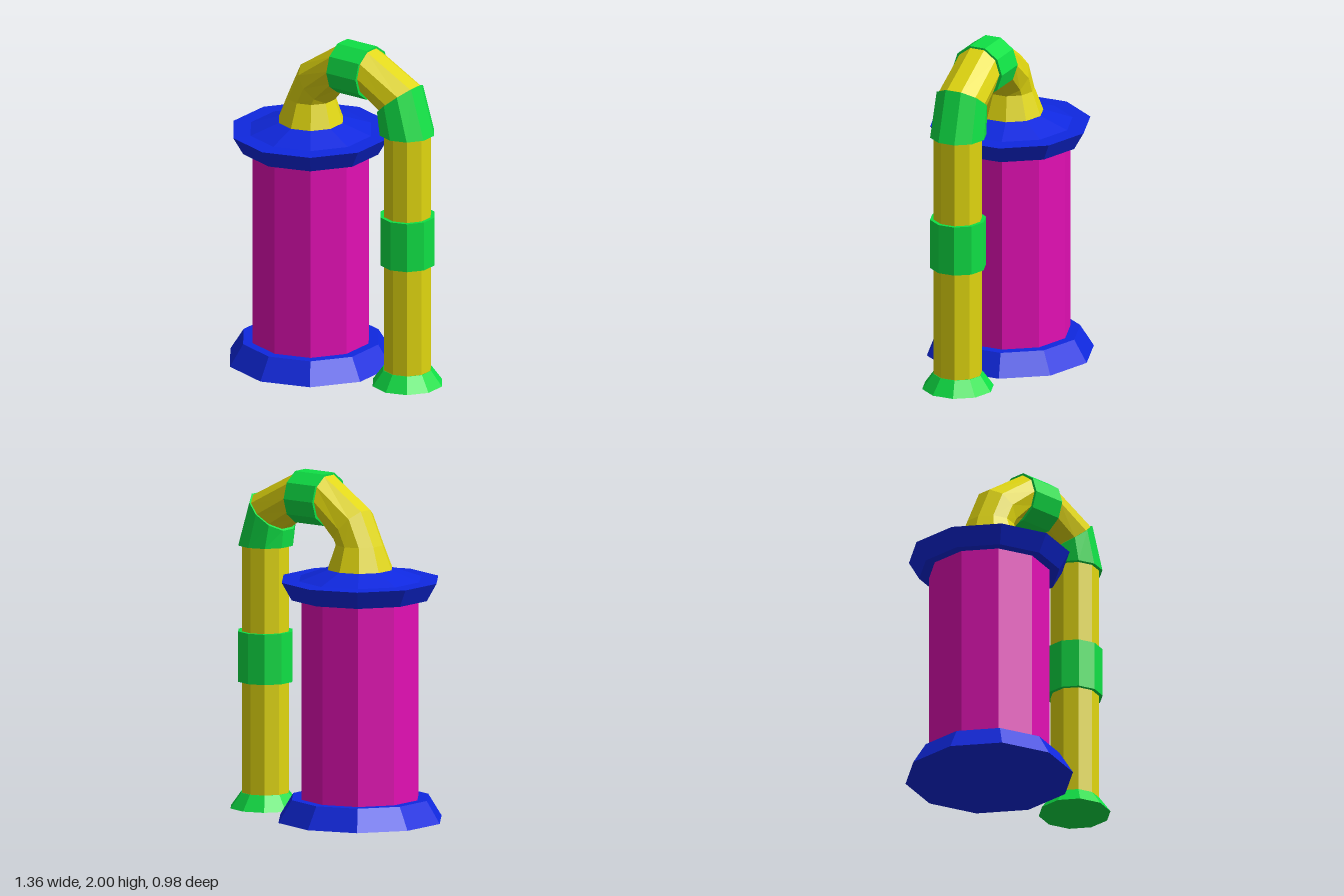
import * as THREE from 'three';

const SIDES = 10;
const TANK_X = -0.215, PIPE_X = 0.478;
const mat = (color) => new THREE.MeshStandardMaterial({ color, flatShading: true });

// Closed ten-sided tube through rings [x, y, angle of the outer side in degrees, radius]
function loft(rings) {
  const pos = [], idx = [];
  for (const [x, y, deg, r] of rings) {
    const a = THREE.MathUtils.degToRad(deg);
    for (let i = 0; i < SIDES; i++) {
      const t = (i / SIDES) * Math.PI * 2, s = r * Math.sin(t);
      pos.push(x + s * Math.cos(a), y + s * Math.sin(a), r * Math.cos(t));
    }
  }
  const last = (rings.length - 1) * SIDES;
  for (let k = 0; k < last; k += SIDES) {
    for (let i = 0; i < SIDES; i++) {
      const j = (i + 1) % SIDES;
      idx.push(k + i, k + SIDES + i, k + j, k + j, k + SIDES + i, k + SIDES + j);
    }
  }
  // end caps
  for (let i = 1; i < SIDES - 1; i++) idx.push(0, i, i + 1, last, last + i + 1, last + i);
  const geo = new THREE.BufferGeometry();
  geo.setAttribute('position', new THREE.Float32BufferAttribute(pos, 3));
  geo.setIndex(idx);
  const flat = geo.toNonIndexed();
  flat.computeVertexNormals();
  return flat;
}

export function createModel() {
  const group = new THREE.Group();
  const magenta = mat(0xe20fb4), blue = mat(0x0f28e0), yellow = mat(0xe0d60f), green = mat(0x0fe045);

  const add = (name, geo, material) => {
    const mesh = new THREE.Mesh(geo, material);
    mesh.name = name;
    group.add(mesh);
    return mesh;
  };
  // Upright ten-sided drum between two heights
  const drum = (name, x, y0, y1, r0, r1, material) =>
    add(name, new THREE.CylinderGeometry(r1, r0, y1 - y0, SIDES), material).position.set(x, (y0 + y1) / 2, 0);

  // Tank
  drum('tankBase', TANK_X, 0, 0.13, 0.49, 0.41, blue);
  drum('tankBody', TANK_X, 0.13, 1.3, 0.352, 0.352, magenta);
  const lid = [[0, 1.3], [0.41, 1.3], [0.47, 1.405], [0.365, 1.408], [0.195, 1.468], [0, 1.468]];
  add('tankLid', new THREE.LatheGeometry(lid.map(([r, y]) => new THREE.Vector2(r, y)), SIDES), blue).position.x = TANK_X;

  // Bent pipe from the lid over to the elbow
  add('bentPipe', loft([
    [TANK_X, 1.465, 180, 0.195],
    [-0.212, 1.61, 180, 0.142],
    [-0.165, 1.71, 132, 0.142],
    [0.015, 1.855, 90, 0.142],
    [0.22, 1.855, 90, 0.142],
    [0.43, 1.737, 40, 0.145],
    [PIPE_X, 1.56, 0, 0.142],
  ]), yellow);
  add('topCollar', loft([[0.012, 1.85, 90, 0.158], [0.222, 1.85, 90, 0.158]]), green);
  add('elbow', loft([[0.425, 1.737, 40, 0.158], [0.475, 1.538, 0, 0.165]]), green);

  // Downpipe
  drum('downPipe', PIPE_X, 0.09, 1.54, 0.142, 0.142, yellow);
  drum('pipeCollar', PIPE_X, 0.74, 1.035, 0.164, 0.164, green);
  drum('pipeFoot', PIPE_X, 0, 0.09, 0.21, 0.145, green);

  return group;
}
